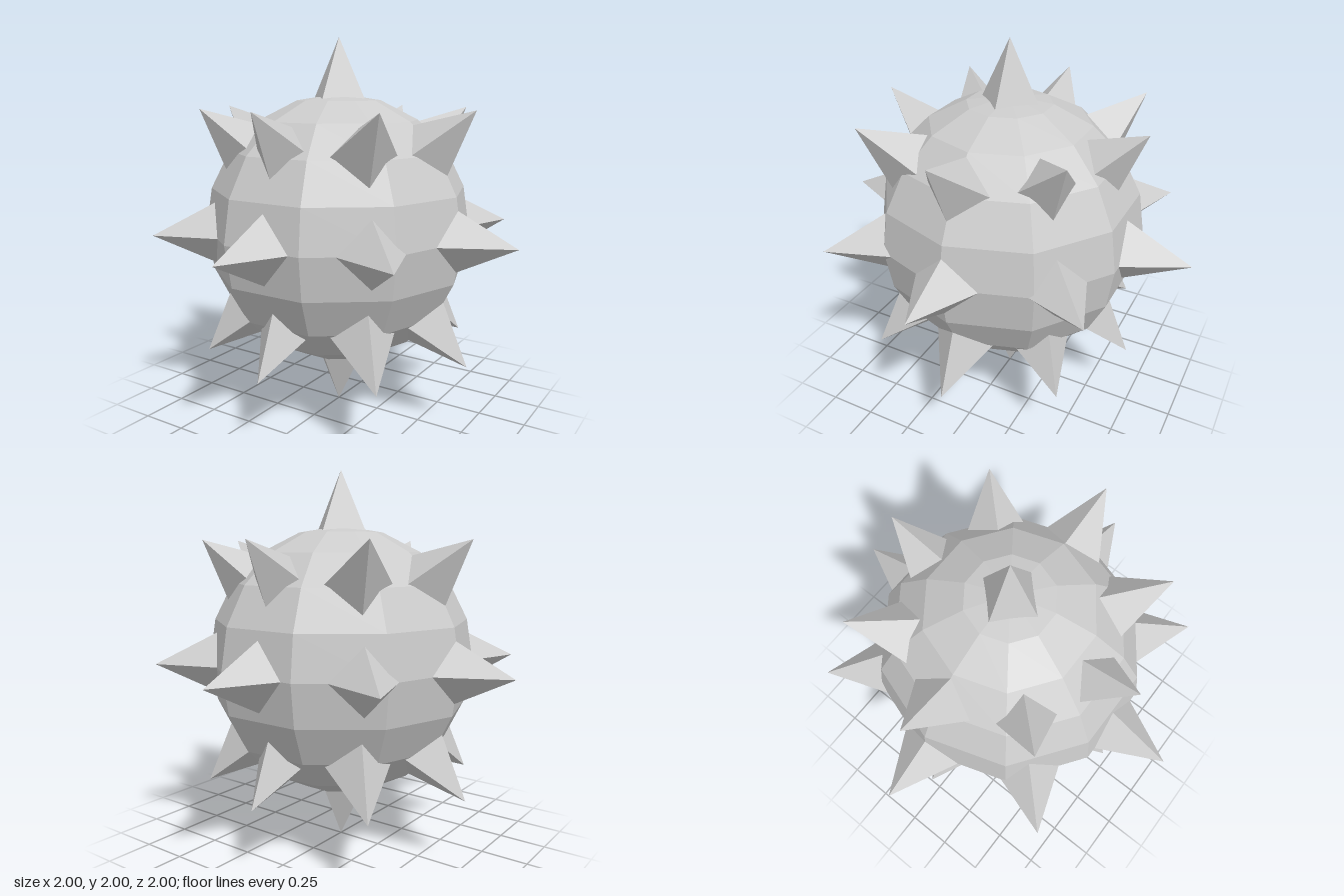
import * as THREE from 'three';

const material = new THREE.MeshStandardMaterial({ color: 0xcccccc, flatShading: true });
const UP = new THREE.Vector3(0, 1, 0);
const SPIKE_LENGTH = 0.44;

// Four-sided spike whose axis runs through the centre of the ball
function createSpike(x, y, z) {
  const tip = new THREE.Vector3(x, y, z);
  const axis = tip.clone().normalize();
  const vertical = Math.abs(axis.y) > 0.99;
  const side = vertical
    ? new THREE.Vector3(1, 0, 0)
    : new THREE.Vector3().crossVectors(UP, axis).normalize();
  const third = new THREE.Vector3().crossVectors(side, axis);

  const spike = new THREE.Mesh(
    new THREE.ConeGeometry(SPIKE_LENGTH / 2, SPIKE_LENGTH, 4), material);
  spike.name = 'spike';
  spike.quaternion.setFromRotationMatrix(new THREE.Matrix4().makeBasis(side, axis, third));
  spike.position.copy(tip).addScaledVector(axis, -SPIKE_LENGTH / 2);
  return spike;
}

export function createModel() {
  const model = new THREE.Group();
  model.name = 'spikedBall';

  // Faceted ball
  const ball = new THREE.Mesh(new THREE.SphereGeometry(0.714, 10, 10), material);
  ball.name = 'ball';
  ball.position.y = 1;
  model.add(ball);

  const spikes = new THREE.Group();
  spikes.name = 'spikes';
  spikes.position.y = 1;
  model.add(spikes);

  // Tips on one half of a ring; the other half is turned by 180 degrees
  const middleRing = [[1, 0], [0.71, 0.695], [0, 1], [-0.683, 0.704]];
  const outerRing = [[0.765, 0], [0.545, 0.535], [0, 0.72], [-0.5, 0.52]];

  for (const s of [1, -1]) {
    // Pole spikes
    spikes.add(createSpike(0, s, 0));
    // Equator spikes
    for (const [x, z] of middleRing) spikes.add(createSpike(s * x, 0, s * z));
    // Upper and lower spikes
    for (const [x, z] of outerRing) {
      for (const y of [0.64, -0.64]) spikes.add(createSpike(s * x, y, s * z));
    }
  }
  return model;
}
